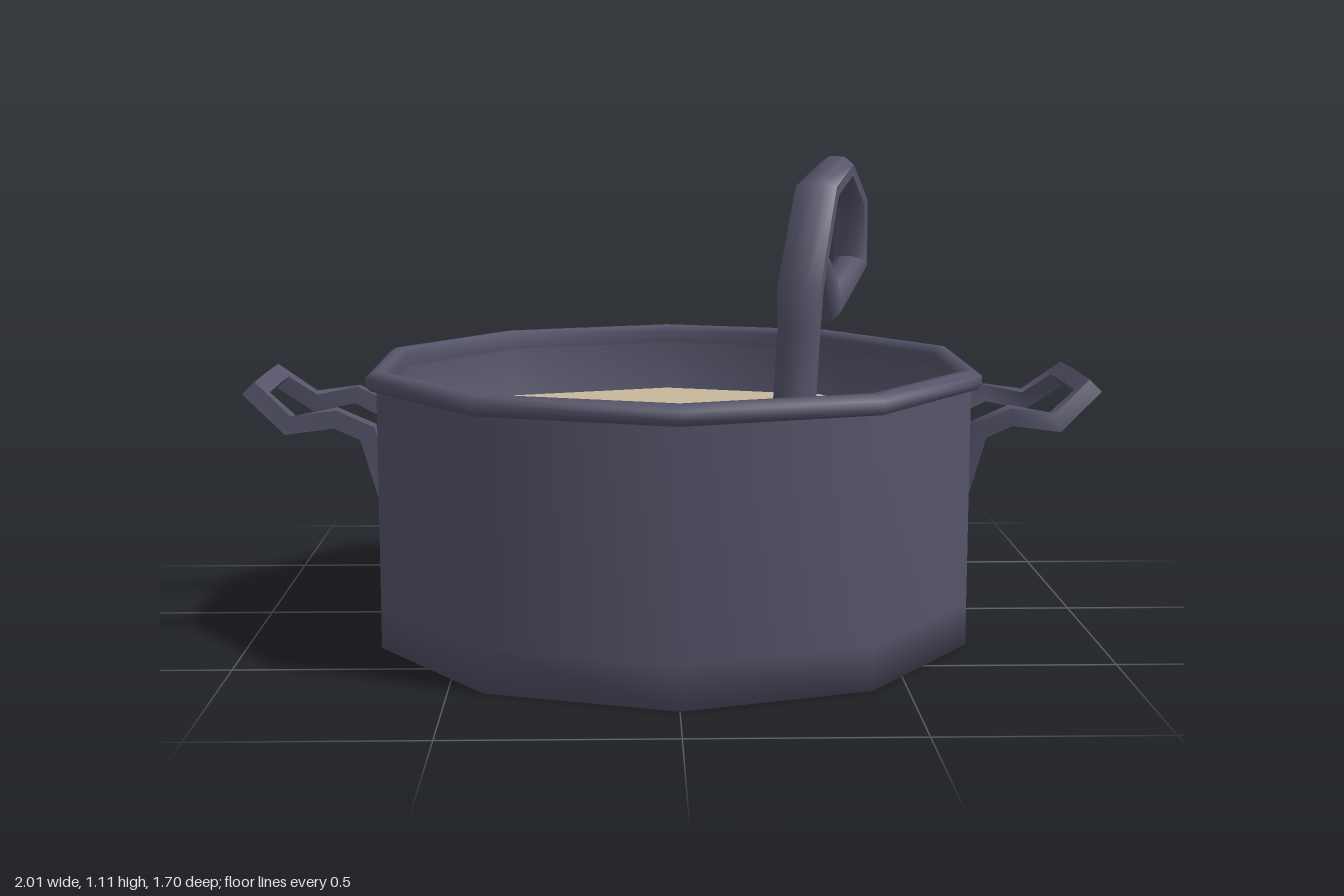
import * as THREE from 'three';
import { toCreasedNormals } from 'three/addons/utils/BufferGeometryUtils.js';

// Sweep an elliptical section along a polyline with mitred corners and closed ends.
// Each point is [x, y, z, scale]; ref is the section's width axis,
// a the half width along it, b the half thickness.
function sweep(pts, ref, a, b, sides) {
  const P = pts.map(p => new THREE.Vector3(p[0], p[1], p[2]));
  const pos = [], idx = [];
  P.forEach((p, i) => {
    const d1 = P[Math.max(i, 1)].clone().sub(P[Math.max(i, 1) - 1]).normalize();
    const j = Math.min(i, P.length - 2);
    const d2 = P[j + 1].clone().sub(P[j]).normalize();
    const t = d1.clone().add(d2).normalize();
    const u = ref.clone().addScaledVector(t, -ref.dot(t)).normalize();
    const v = t.clone().cross(u);
    const bend = d2.clone().sub(d1).normalize();
    const miter = 1 / t.dot(d1) - 1;
    for (let k = 0; k < sides; k++) {
      const q = (k + 0.5) / sides * Math.PI * 2;
      const o = u.clone().multiplyScalar(a * pts[i][3] * Math.cos(q)).addScaledVector(v, b * Math.sin(q));
      o.addScaledVector(bend, o.dot(bend) * miter).add(p);
      pos.push(o.x, o.y, o.z);
    }
  });
  for (let i = 0; i < P.length - 1; i++) {
    for (let k = 0; k < sides; k++) {
      const c = i * sides + k, d = i * sides + (k + 1) % sides;
      idx.push(c, d, d + sides, c, d + sides, c + sides);
    }
  }
  const last = (P.length - 1) * sides;
  for (let k = 1; k < sides - 1; k++) {
    idx.push(0, k + 1, k, last, last + k, last + k + 1);
  }
  const g = new THREE.BufferGeometry();
  g.setAttribute('position', new THREE.Float32BufferAttribute(pos, 3));
  g.setIndex(idx);
  return toCreasedNormals(g, 0.95);
}

export function createModel() {
  const model = new THREE.Group();
  model.name = 'cookingPot';
  const metal = new THREE.MeshStandardMaterial({ color: 0x55546a });
  metal.name = 'dark slate metal';
  const broth = new THREE.MeshStandardMaterial({ color: 0xc6b89a });
  broth.name = 'cream soup';

  const add = (name, geometry, material) => {
    const mesh = new THREE.Mesh(geometry, material);
    mesh.name = name;
    model.add(mesh);
    return mesh;
  };
  const centreZ = 0.105;
  const lathe = profile => new THREE.LatheGeometry(profile.map(p => new THREE.Vector2(...p)), 10);

  // Ten-sided pot shell: base, outer wall, inner wall and floor
  add('potBody', lathe([
    [0, 0], [0.60, 0], [0.72, 0], [0.72, 0.10], [0.72, 0.63], [0.70, 0.63], [0.70, 0.04], [0, 0.04],
  ]), metal).position.z = centreZ;

  // Rolled rim
  add('rim', lathe([
    [0.70, 0.605], [0.735, 0.608], [0.745, 0.62], [0.745, 0.64],
    [0.728, 0.652], [0.705, 0.652], [0.697, 0.635], [0.70, 0.605],
  ]), metal).position.z = centreZ;

  // Soup surface
  const soup = new THREE.CircleGeometry(0.702, 10, Math.PI / 2).rotateX(-Math.PI / 2);
  add('soup', soup, broth).position.set(0, 0.478, centreZ);

  // Side handles: half of the square-bar loop, mirrored front to back
  const half = [
    [0.668, 0.35, 0.17, 1], [0.712, 0.505, 0.175, 1], [0.785, 0.54, 0.185, 1],
    [0.89, 0.523, 0.185, 1], [0.975, 0.592, 0.145, 1],
  ];
  const loop = [...half, [0.97, 0.597, 0, 1], ...half.map(([x, y, z, s]) => [x, y, -z, s]).reverse()];
  const handle = sweep(loop, new THREE.Vector3(-1, 1, 0).normalize(), 0.029, 0.029, 4);
  for (const [name, turn] of [['leftHandle', 0], ['rightHandle', Math.PI]]) {
    const mesh = add(name, handle, metal);
    mesh.rotation.y = turn;
    mesh.position.z = centreZ;
  }

  // Ladle handle with a curled, narrowing end, lying in a slanted vertical plane
  const slope = -0.44;
  const curl = [
    [-0.365, 0.44, 1.1], [-0.398, 0.66, 1.1], [-0.405, 0.77, 1.2], [-0.53, 1.025, 1.15], [-0.678, 1.077, 1],
    [-0.8, 0.982, 0.95], [-0.813, 0.808, 0.9], [-0.616, 0.705, 0.85], [-0.545, 0.83, 0.6],
  ].map(([z, y, s]) => [0.345 + (z + 0.39) * slope, y, z, s]);
  add('ladleHandle', sweep(curl, new THREE.Vector3(1, 0, -slope).normalize(), 0.055, 0.036, 8), metal);

  return model;
}
